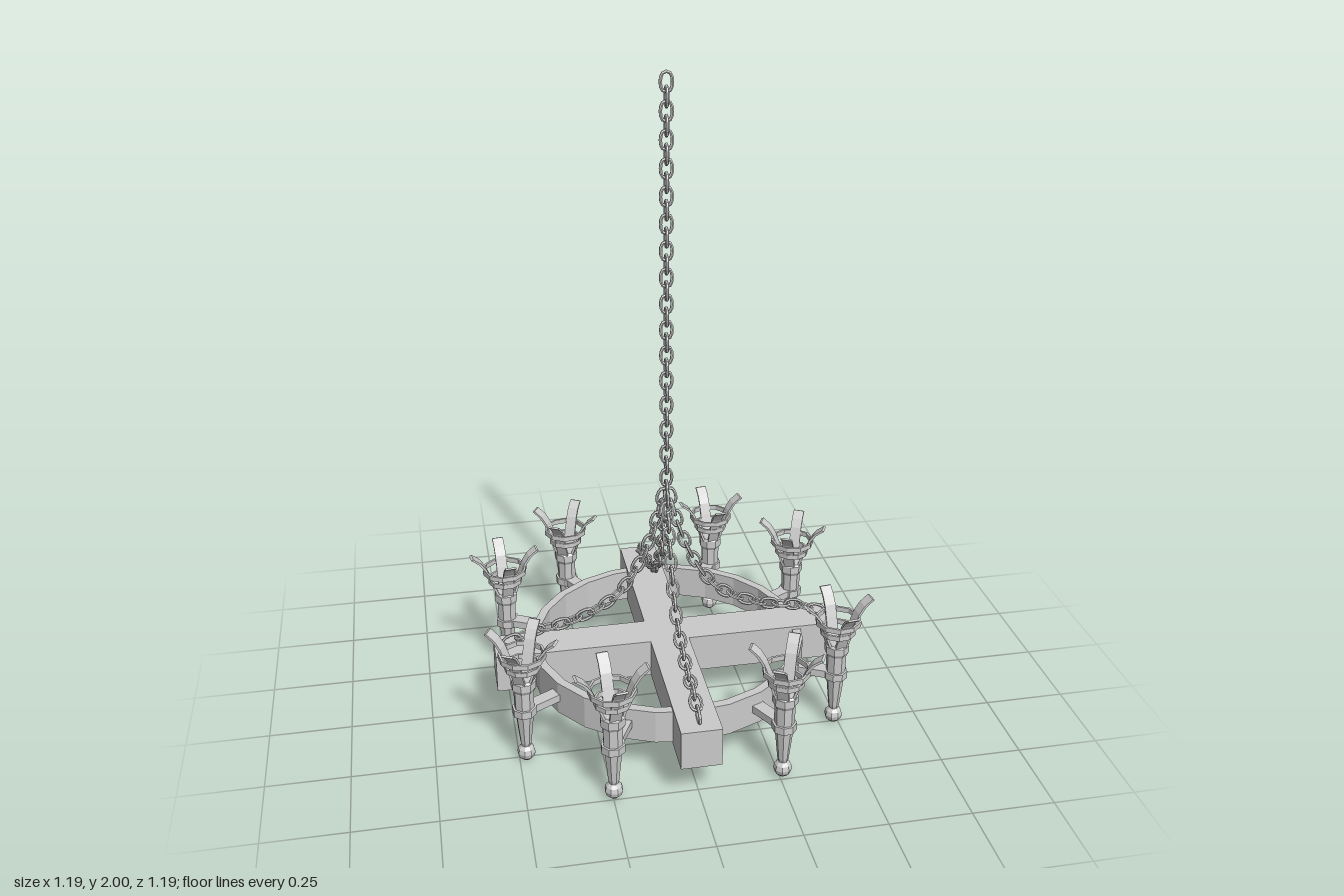
import * as THREE from 'three';

const material = new THREE.MeshStandardMaterial({ color: 0xcccccc, flatShading: true });
const V = (x, y, z = 0) => new THREE.Vector3(x, y, z);

function add(parent, name, geometry, x = 0, y = 0, z = 0) {
  const mesh = new THREE.Mesh(geometry, material);
  mesh.name = name;
  mesh.position.set(x, y, z);
  parent.add(mesh);
  return mesh;
}

const lathe = (points, sides) =>
  new THREE.LatheGeometry(points.map(([r, y]) => new THREE.Vector2(r, y)), sides);

// Oval chain link: long axis on y, lying in the xy plane
const linkCurve = new THREE.CatmullRomCurve3([
  V(0, 0.028), V(0.012, 0.022), V(0.016, 0.01), V(0.016, -0.01), V(0.012, -0.022),
  V(0, -0.028), V(-0.012, -0.022), V(-0.016, -0.01), V(-0.016, 0.01), V(-0.012, 0.022),
], true);
const linkGeometry = new THREE.TubeGeometry(linkCurve, 12, 0.005, 6, true);

// Links along a curve in the xy plane, each turned a quarter from the one before
function chain(name, curve, count) {
  const group = new THREE.Group();
  group.name = name;
  for (let i = 0; i < count; i++) {
    const t = i / (count - 1);
    const tangent = curve.getTangentAt(t);
    const link = add(group, 'chainLink', linkGeometry);
    link.position.copy(curve.getPointAt(t));
    link.rotation.z = Math.atan2(-tangent.x, tangent.y);
    if (i % 2) link.rotateY(Math.PI / 2);
  }
  return group;
}

// Curved strip swept outward, its width across x and its reach along +z
function prongGeometry() {
  const width = 0.035, t = 0.007;
  const path = [[0.026, 0.27], [0.04, 0.31], [0.054, 0.35], [0.068, 0.385], [0.085, 0.41], [0.11, 0.43]];
  const outline = [...path, ...path.map(([r, y]) => [r - t, y + t * 0.4]).reverse()];
  const shape = new THREE.Shape(outline.map(([r, y]) => new THREE.Vector2(r, y)));
  const g = new THREE.ExtrudeGeometry(shape, { depth: width, bevelEnabled: false });
  g.translate(0, 0, -width / 2);
  g.rotateY(-Math.PI / 2);
  return g;
}

// Torch built about its own axis; the wheel lies toward -z
const prong = prongGeometry();
const handle = lathe([[0, 0.05], [0.013, 0.05], [0.017, 0.065], [0.03, 0.19], [0.031, 0.25],
  [0.038, 0.262], [0.038, 0.285], [0.032, 0.292], [0, 0.292]], 8);
const collar = lathe([[0.026, 0.168], [0.037, 0.168], [0.037, 0.192], [0.026, 0.192]], 8);
const hoop = (r, y) => lathe([[r, y - 0.008], [r + 0.007, y - 0.008], [r + 0.007, y + 0.008],
  [r, y + 0.008], [r, y - 0.008]], 10);
const lowerHoop = hoop(0.048, 0.335);
const upperHoop = hoop(0.064, 0.37);

function torch() {
  const group = new THREE.Group();
  group.name = 'torch';
  add(group, 'pommel', new THREE.SphereGeometry(0.028, 8, 6), 0, 0.03, 0);
  add(group, 'handle', handle);
  add(group, 'collar', collar);
  add(group, 'bracket', new THREE.BoxGeometry(0.04, 0.024, 0.125), 0, 0.18, -0.065);
  const basket = new THREE.Group();
  basket.name = 'basket';
  basket.rotation.y = THREE.MathUtils.degToRad(34);
  group.add(basket);
  add(basket, 'lowerHoop', lowerHoop);
  add(basket, 'upperHoop', upperHoop);
  for (let i = 0; i < 4; i++) add(basket, 'prong', prong).rotation.y = i * Math.PI / 2;
  return group;
}

export function createModel() {
  const model = new THREE.Group();
  model.name = 'chandelier';

  // Crossed beams as one plus-shaped slab
  const L = 0.545, w = 0.061;
  const plus = new THREE.Shape([[L, -w], [L, w], [w, w], [w, L], [-w, L], [-w, w], [-L, w], [-L, -w],
    [-w, -w], [-w, -L], [w, -L], [w, -w]].map(([x, y]) => new THREE.Vector2(x, y)));
  const beams = new THREE.ExtrudeGeometry(plus, { depth: 0.123, bevelEnabled: false });
  beams.rotateX(-Math.PI / 2);
  add(model, 'crossBeams', beams, 0, 0.117, 0);

  // Wheel rim
  add(model, 'rim', lathe([[0.405, 0.125], [0.432, 0.125], [0.432, 0.23], [0.405, 0.23], [0.405, 0.125]], 24));

  // Eight torches in pairs between the beams
  for (let quarter = 0; quarter < 4; quarter++) {
    for (const degrees of [27, 61.5]) {
      const angle = Math.PI - THREE.MathUtils.degToRad(degrees + quarter * 90);
      const t = torch();
      t.position.set(0.545 * Math.sin(angle), 0, 0.545 * Math.cos(angle));
      t.rotation.y = angle;
      model.add(t);
    }
  }

  // Hanging chain
  model.add(chain('mainChain', new THREE.LineCurve3(V(0, 1.967), V(0, 0.74)), 32));

  // Four sagging chains down to the beam ends
  const sag = new THREE.CatmullRomCurve3([V(0.012, 0.715), V(0.03, 0.64), V(0.06, 0.55), V(0.1, 0.465),
    V(0.145, 0.4), V(0.2, 0.354), V(0.265, 0.322), V(0.335, 0.3), V(0.43, 0.283), V(0.49, 0.26)]);
  for (let i = 0; i < 4; i++) {
    const arm = chain('sideChain', sag, 19);
    arm.rotation.y = i * Math.PI / 2;
    model.add(arm);
  }
  return model;
}
